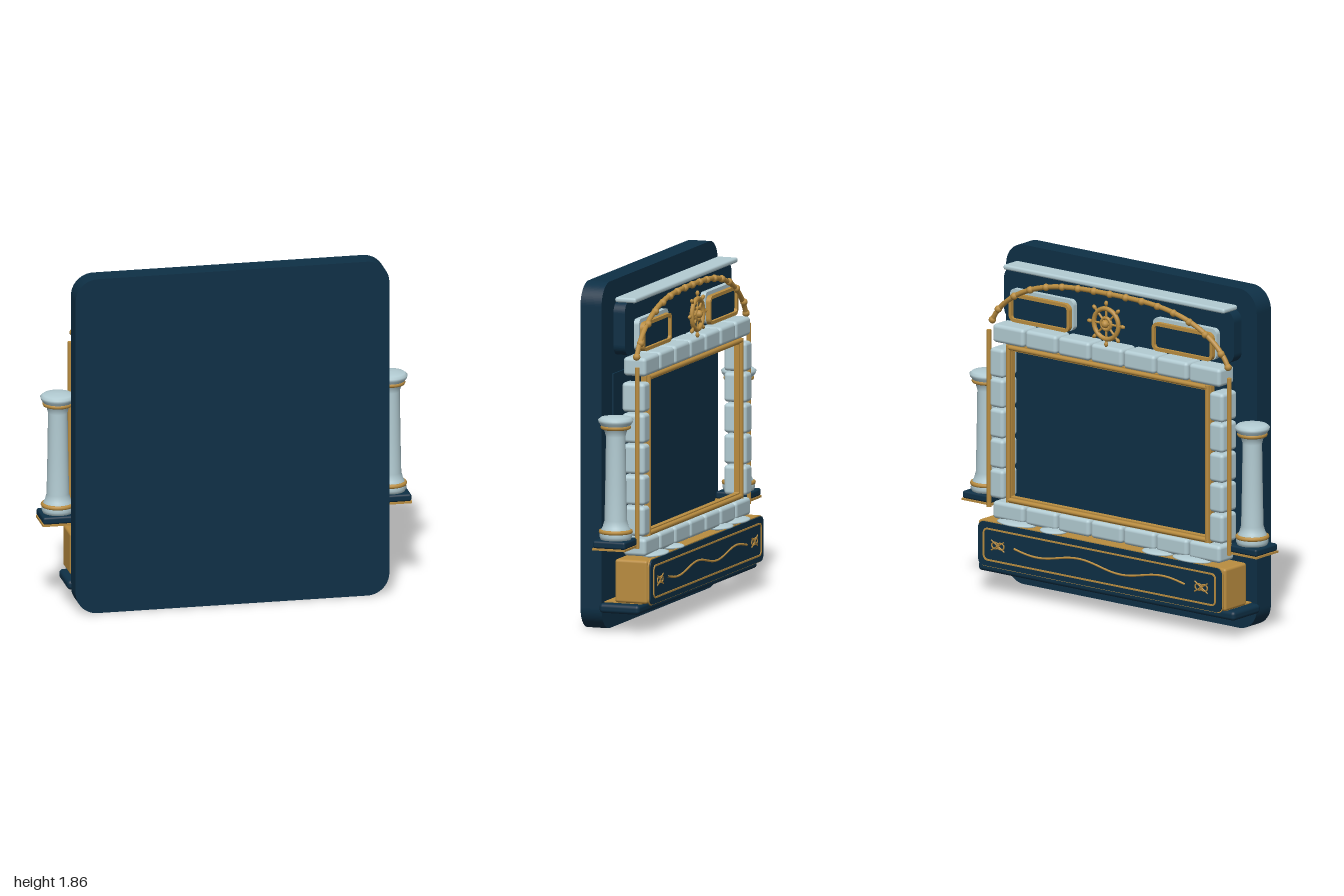
import * as THREE from 'three';
import { RoundedBoxGeometry } from 'three/addons/geometries/RoundedBoxGeometry.js';

export function createModel() {
  const root = new THREE.Group();
  const mat = (name, color) => new THREE.MeshStandardMaterial({ name, color });
  const navy = mat('navy', 0x0e3046);
  const stone = mat('paleStone', 0xb3ccd3);
  const gold = mat('gold', 0xba8d40);

  const add = (name, geo, material, x = 0, y = 0, z = 0, parent = root) => {
    const m = new THREE.Mesh(geo, material);
    m.name = name;
    m.position.set(x, y, z);
    parent.add(m);
    return m;
  };
  // Box given by its limits, optionally rounded
  const box = (name, material, x0, x1, y0, y1, z0, z1, r = 0) => {
    const s = [x1 - x0, y1 - y0, z1 - z0];
    const g = r ? new RoundedBoxGeometry(...s, 3, r) : new THREE.BoxGeometry(...s);
    return add(name, g, material, (x0 + x1) / 2, (y0 + y1) / 2, (z0 + z1) / 2);
  };
  const roundRect = (P, x0, x1, y0, y1, r) => {
    const p = new P();
    p.moveTo(x0 + r, y0).lineTo(x1 - r, y0);
    p.absarc(x1 - r, y0 + r, r, -Math.PI / 2, 0);
    p.absarc(x1 - r, y1 - r, r, 0, Math.PI / 2);
    p.absarc(x0 + r, y1 - r, r, Math.PI / 2, Math.PI);
    p.absarc(x0 + r, y0 + r, r, Math.PI, Math.PI * 1.5);
    return p;
  };
  // Rounded plate; a border width turns it into an open frame
  const plate = (name, material, x0, x1, y0, y1, r, z0, z1, border = 0) => {
    const s = roundRect(THREE.Shape, x0, x1, y0, y1, r);
    const b = border;
    if (b) s.holes.push(roundRect(THREE.Path, x0 + b, x1 - b, y0 + b, y1 - b, Math.max(r - b, 0.005)));
    const g = new THREE.ExtrudeGeometry(s, { depth: z1 - z0, bevelEnabled: false, curveSegments: 12 });
    return add(name, g, material, 0, 0, z0);
  };
  const tube = (name, pts, r, seg = 60) => add(name, new THREE.TubeGeometry(
    new THREE.CatmullRomCurve3(pts.map(p => new THREE.Vector3(...p))), seg, r, 8), gold);

  // Backing slab and recessed screen
  plate('backingSlab', navy, -0.85, 0.85, 0, 1.86, 0.12, 0.08, 0.2);
  box('screenPanel', navy, -0.7, 0.7, 0.48, 1.36, 0.07, 0.08);

  // Header with pale cornice
  plate('headerPanel', navy, -0.78, 0.78, 1.47, 1.758, 0.06, -0.025, 0.04);
  box('cornice', stone, -0.75, 0.75, 1.752, 1.78, -0.075, 0.045, 0.012);

  // Stone surround
  const pitch = 0.222;
  for (let i = -3; i <= 3; i++) {
    const x = i * pitch, h = pitch / 2 - 0.005;
    box('topStone', stone, x - h, x + h, 1.365, 1.465, -0.14, -0.01, 0.02);
    box('bottomStone', stone, x - h, x + h, 0.4, 0.495, -0.14, -0.01, 0.02);
  }
  for (const s of [-1, 1]) for (let i = 0; i < 5; i++) {
    const y = 0.51 + i * 0.166;
    box('sideStone', stone, s * 0.745 - 0.047, s * 0.745 + 0.047, y, y + 0.158, -0.14, -0.01, 0.02);
  }

  // Gold inner moulding and outer poles
  plate('screenMoulding', gold, -0.695, 0.695, 0.495, 1.365, 0.01, -0.115, -0.085, 0.035);
  const bar = new THREE.CylinderGeometry(0.013, 0.013, 1, 10);
  for (const s of [-1, 1]) {
    add('mouldingBead', bar, gold, s * 0.675, 0.93, -0.12).scale.y = 0.86;
    add('outerPole', bar, gold, s * 0.815, 0.935, -0.11).scale.y = 0.97;
  }
  for (const y of [0.512, 1.348]) {
    const m = add('mouldingBead', bar, gold, 0, y, -0.12);
    m.rotation.z = Math.PI / 2;
    m.scale.y = 1.36;
  }

  // Arched rail with beads
  const archY = x => 1.465 + 0.28 * Math.pow(Math.max(0, 1 - Math.pow(Math.abs(x) / 0.8, 3)), 0.7);
  const arch = [];
  for (let i = 0; i <= 32; i++) {
    const x = -0.8 * Math.cos((i / 32) * Math.PI);
    arch.push([x, archY(x), -0.1]);
  }
  tube('archRail', arch, 0.014, 100);
  const bead = new THREE.SphereGeometry(0.02, 10, 8);
  for (let i = -7; i <= 7; i++) add('railBead', bead, gold, i * 0.108, archY(i * 0.108), -0.105);
  for (const s of [-1, 1]) add('railEndBead', bead, gold, s * 0.8, 1.475, -0.1);

  // Header windows
  for (const s of [-1, 1]) {
    const [a, b] = s > 0 ? [0.28, 0.69] : [-0.69, -0.28];
    plate('windowBlock', stone, a - 0.01, b + 0.01, 1.49, 1.66, 0.03, -0.075, -0.045);
    plate('windowPane', navy, a + 0.01, b - 0.01, 1.495, 1.63, 0.025, -0.083, -0.075);
    plate('windowFrame', gold, a, b, 1.485, 1.64, 0.035, -0.1, -0.07, 0.018);
  }

  // Ship's wheel
  const wheel = new THREE.Group();
  wheel.name = 'shipWheel';
  wheel.position.set(0, 1.59, -0.135);
  root.add(wheel);
  add('wheelRim', new THREE.TorusGeometry(0.083, 0.013, 8, 32), gold, 0, 0, 0, wheel);
  add('wheelInnerRing', new THREE.TorusGeometry(0.032, 0.01, 8, 24), gold, 0, 0, 0, wheel);
  add('wheelHub', new THREE.SphereGeometry(0.022, 12, 8), gold, 0, 0, -0.008, wheel);
  for (let i = 0; i < 8; i++) {
    const spoke = new THREE.Group();
    spoke.name = 'wheelSpoke';
    spoke.rotation.z = i * Math.PI / 4;
    wheel.add(spoke);
    add('spokeRod', new THREE.CylinderGeometry(0.006, 0.007, 0.11, 8), gold, 0, 0.06, 0, spoke);
    add('spokeHandle', new THREE.SphereGeometry(0.011, 8, 6), gold, 0, 0.112, 0, spoke).scale.y = 1.4;
  }

  // Lower ledge
  box('ledge', navy, -0.87, 0.87, 0.1, 0.152, -0.14, 0.09, 0.02);
  box('ledgeTop', gold, -0.82, 0.82, 0.151, 0.157, -0.135, 0.075);

  // Gold chest with decorated plate
  box('chest', gold, -0.84, 0.84, 0.157, 0.39, -0.175, 0.01, 0.015);
  plate('chestPlate', navy, -0.825, 0.825, 0.15, 0.39, 0.035, -0.19, -0.174);
  plate('plateEdge', gold, -0.83, 0.83, 0.145, 0.395, 0.04, -0.182, -0.174);
  plate('plateOutline', gold, -0.79, 0.79, 0.18, 0.36, 0.03, -0.195, -0.189, 0.009);
  const wave = [];
  for (let i = 0; i <= 40; i++) {
    const x = -0.58 + i * 0.029;
    wave.push([x, 0.27 + 0.02 * Math.sin(x * 11), -0.19]);
  }
  tube('waveLine', wave, 0.006, 100);
  for (const s of [-1, 1]) {
    for (const k of [-1, 1]) {
      const x = s * 0.69;
      const m = add('knotLoop', new THREE.TorusGeometry(0.018, 0.004, 6, 18), gold, x + k * 0.018, 0.27, -0.191);
      m.scale.x = 1.3;
      tube('knotEnd', [[x - 0.045, 0.27 - k * 0.028, -0.191], [x, 0.27, -0.192],
        [x + 0.045, 0.27 + k * 0.028, -0.191]], 0.004, 8);
    }
  }

  // Flat foam mounds resting on the chest
  for (const [x, r] of [[-0.58, 0.125], [-0.35, 0.1], [0.36, 0.08], [0.61, 0.125]])
    add('foamMound', new THREE.SphereGeometry(1, 24, 12), stone, x, 0.397, -0.13).scale.set(r, 0.014, 0.065);

  // Side columns on dark plinths
  const profile = [[0, 0.505], [0.08, 0.505], [0.087, 0.525], [0.085, 0.55], [0.07, 0.575], [0.06, 0.61],
    [0.056, 0.8], [0.052, 1.06], [0.06, 1.09], [0.075, 1.115], [0.09, 1.135], [0.094, 1.15],
    [0.08, 1.162], [0.04, 1.168], [0, 1.17]].map(p => new THREE.Vector2(...p));
  for (const s of [-1, 1]) {
    const x = s * 0.9;
    box('plinthPlate', gold, x - 0.1, x + 0.1, 0.457, 0.468, -0.11, 0.075);
    box('plinth', navy, x - 0.098, x + 0.098, 0.467, 0.508, -0.11, 0.075, 0.012);
    add('column', new THREE.LatheGeometry(profile, 32), stone, x, 0, -0.02);
    for (const [y, r] of [[0.55, 0.079], [1.11, 0.07]]) {
      const ring = add('columnRing', new THREE.TorusGeometry(r, 0.012, 8, 32), gold, x, y, -0.02);
      ring.rotation.x = Math.PI / 2;
    }
  }
  return root;
}
